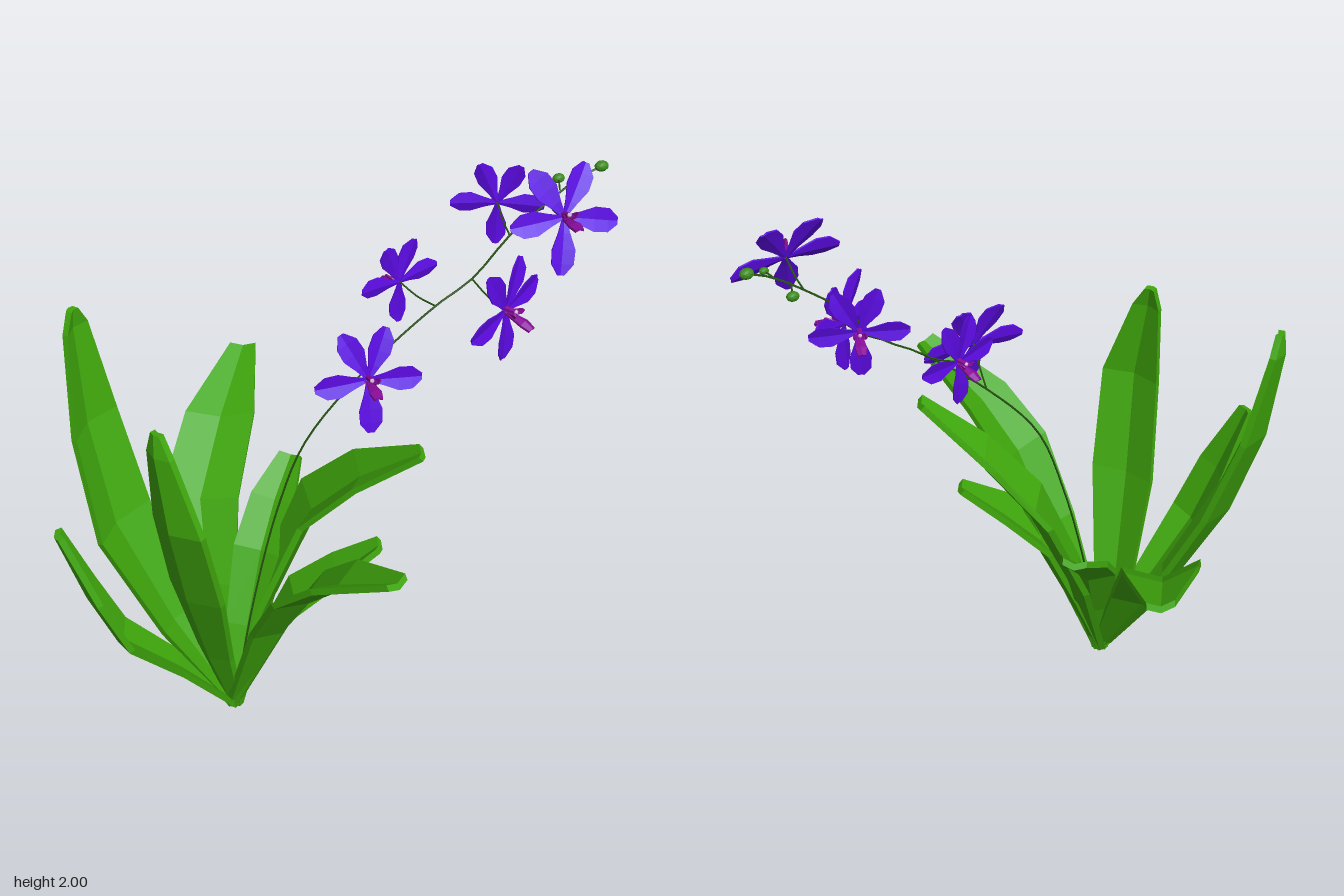
import * as THREE from 'three';

const V = (a) => new THREE.Vector3(...a);
const mat = (color) => new THREE.MeshStandardMaterial({ color, flatShading: true });
const leafMat = mat(0x3fa60c), stemMat = mat(0x24520f), budMat = mat(0x3b8a1c);
const petalMat = mat(0x5a0ae0), lipMat = mat(0x8a0c9c), tipMat = mat(0xd8b8d8);

// Thick blade folded along its middle, swept along points with given half widths
function blade(points, halfWidths, side, thick, fold) {
  const pts = points.map(V), s = side.clone().normalize(), pos = [], idx = [];
  pts.forEach((p, i) => {
    const t = pts[Math.min(i + 1, pts.length - 1)].clone().sub(pts[Math.max(i - 1, 0)]).normalize();
    const n = s.clone().cross(t).normalize(), w = halfWidths[i];
    const ring = [[-1, 0.5], [0, 0.5], [1, 0.5], [1, -0.5], [0, -0.5], [-1, -0.5]];
    for (const [u, v] of ring) {
      const q = p.clone().addScaledVector(s, u * w)
        .addScaledVector(n, v * thick + (Math.abs(u) - 0.5) * fold * w);
      pos.push(q.x, q.y, q.z);
    }
  });
  for (let i = 0; i < pts.length - 1; i++) {
    for (let j = 0; j < 6; j++) {
      const a = i * 6 + j, b = i * 6 + (j + 1) % 6;
      idx.push(a, b, b + 6, a, b + 6, a + 6);
    }
  }
  const e = (pts.length - 1) * 6;
  for (const [a, b, c] of [[0, 1, 4], [0, 4, 5], [1, 2, 3], [1, 3, 4]]) {
    idx.push(a, c, b, e + a, e + b, e + c);
  }
  const g = new THREE.BufferGeometry();
  g.setAttribute('position', new THREE.Float32BufferAttribute(pos, 3));
  g.setIndex(idx);
  const flat = g.toNonIndexed();
  flat.computeVertexNormals();
  return flat;
}

function add(parent, name, geometry, material) {
  const m = new THREE.Mesh(geometry, material);
  m.name = name;
  parent.add(m);
  return m;
}

function tube(points, radius, segments) {
  const curve = new THREE.CatmullRomCurve3(points.map(V));
  return new THREE.TubeGeometry(curve, segments, radius, 5, false);
}

const ROOT = [-0.35, 0.015, 0.08];

// Each leaf: middle line after the root, then half widths
const LEAVES = [
  [[[-0.38, 0.38, -0.14], [-0.355, 0.615, -0.32], [-0.22, 0.79, -0.54], [-0.07, 0.9, -0.78]], [0.1, 0.135, 0.12, 0.045]],
  [[[-0.52, 0.33, -0.05], [-0.67, 0.7, -0.17], [-0.725, 1.05, -0.28], [-0.745, 1.39, -0.345], [-0.745, 1.46, -0.345]],
    [0.09, 0.14, 0.115, 0.055, 0.018]],
  [[[-0.24, 0.48, 0.25], [-0.19, 0.73, 0.4], [-0.12, 0.88, 0.54], [0, 1.03, 0.77]], [0.1, 0.12, 0.105, 0.04]],
  [[[-0.54, 0.24, 0.09], [-0.73, 0.44, 0.115], [-0.82, 0.64, 0.1], [-0.91, 0.88, 0.06]], [0.06, 0.085, 0.075, 0.03]],
  [[[-0.43, 0.3, 0.12], [-0.51, 0.65, 0.21], [-0.575, 1.0, 0.285], [-0.61, 1.28, 0.26], [-0.61, 1.355, 0.245]],
    [0.075, 0.115, 0.105, 0.05, 0.018]],
  [[[-0.21, 0.42, 0.01], [-0.06, 0.76, 0.01], [0.08, 0.95, 0.12], [0.24, 1.12, 0.285]], [0.11, 0.135, 0.11, 0.035]],
  [[[-0.25, 0.28, 0.12], [-0.16, 0.5, 0.17], [-0.03, 0.63, 0.22], [0.11, 0.75, 0.26]], [0.085, 0.115, 0.09, 0.035]],
  [[[-0.28, 0.28, 0], [-0.2, 0.52, -0.1], [-0.12, 0.65, -0.2], [-0.03, 0.75, -0.3]], [0.07, 0.09, 0.08, 0.04]],
];

// Each flower: stem node, centre, facing direction, scale, petal angles in degrees
const FLOWERS = [
  [[0.12, 1.29, 0.03], [0.09, 1.37, 0.18], [0, 0.3, 0.95], 0.98, [66, 116, 182, 354, 268]],
  [[0.36, 1.5, 0.03], [0.285, 1.52, -0.11], [-0.33, 0, -0.95], 0.84, [68, 112, 175, 5, 270]],
  [[0.48, 1.58, 0.03], [0.53, 1.56, 0.2], [0.55, 0.05, 0.83], 0.98, [64, 120, 190, 12, 266]],
  [[0.6, 1.72, 0.03], [0.62, 1.74, -0.14], [0.33, 0, -0.95], 0.84, [66, 118, 184, 358, 270]],
  [[0.72, 1.82, 0.03], [0.715, 1.855, 0.18], [0.05, 0.45, 0.9], 1, [58, 120, 182, 346, 258]],
];

function makeFlower(scale, angles) {
  const f = new THREE.Group();
  f.name = 'flower';
  const petal = blade(
    [[0.005, 0, 0], [0.05, 0, 0.004], [0.1, 0, 0.006], [0.145, 0, 0.004], [0.18, 0, -0.002]],
    [0.007, 0.02, 0.039, 0.037, 0.011], new THREE.Vector3(0, -1, 0), 0.005, 0.25);
  angles.forEach((a) => {
    add(f, 'petal', petal, petalMat).rotation.z = THREE.MathUtils.degToRad(a);
  });
  // Lip with two side lobes, and the column above it
  add(f, 'lip', blade([[0, -0.005, 0], [0, -0.012, 0.04], [0, -0.02, 0.075], [0, -0.035, 0.105]],
    [0.008, 0.014, 0.02, 0.014], new THREE.Vector3(1, 0, 0), 0.008, 0.4), lipMat);
  for (const k of [-1, 1]) {
    add(f, 'lipLobe', blade([[0, -0.01, 0.015], [k * 0.018, 0.002, 0.04], [k * 0.024, 0.012, 0.055]],
      [0.008, 0.014, 0.005], new THREE.Vector3(0, -0.4, 1), 0.005, 0.2), lipMat);
  }
  const column = add(f, 'column', new THREE.CylinderGeometry(0.008, 0.011, 0.04, 6), lipMat);
  column.rotation.x = Math.PI / 2;
  column.position.set(0, 0.008, 0.02);
  add(f, 'columnTip', new THREE.IcosahedronGeometry(0.008, 0), tipMat).position.set(0, 0.008, 0.042);
  f.scale.setScalar(scale);
  return f;
}

export function createModel() {
  const model = new THREE.Group();
  model.name = 'orchidPlant';

  // Rosette of leaves
  for (const [line, widths] of LEAVES) {
    const tip = V(line[line.length - 1]).sub(V(ROOT)).setY(0);
    const side = tip.cross(new THREE.Vector3(0, 1, 0));
    add(model, 'leaf', blade([ROOT, ...line], [0.03, ...widths], side, 0.022, 0.35), leafMat);
  }

  // Arching flower stem
  add(model, 'stem', tube([ROOT, [-0.26, 0.42, 0.03], [-0.16, 0.8, 0.01], [-0.07, 1.06, 0.03], ...FLOWERS.map((f) => f[0]),
    [0.82, 1.89, 0.03], [0.89, 1.92, 0.03]], 0.0035, 40), stemMat);

  // Flowers on short stalks
  for (const [node, centre, facing, scale, angles] of FLOWERS) {
    const flower = makeFlower(scale, angles);
    flower.position.copy(V(centre));
    flower.lookAt(V(centre).add(V(facing)));
    model.add(flower);
    const mid = V(node).lerp(V(centre), 0.5);
    mid.y -= 0.01;
    add(model, 'flowerStalk', tube([node, mid.toArray(), centre], 0.003, 6), stemMat);
  }

  // Buds near the stem tip
  const buds = [
    [[0.89, 1.92, 0.03], [0.895, 1.922, 0.03], 0.018],
    [[0.76, 1.855, 0.03], [0.785, 1.855, -0.045], 0.016],
    [[0.81, 1.885, 0.03], [0.825, 1.89, 0.075], 0.012],
  ];
  for (const [from, at, r] of buds) {
    const bud = add(model, 'bud', new THREE.IcosahedronGeometry(r, 1), budMat);
    bud.position.copy(V(at));
    bud.scale.x = 1.3;
    add(model, 'budStalk', tube([from, at], 0.003, 2), stemMat);
  }
  return model;
}
